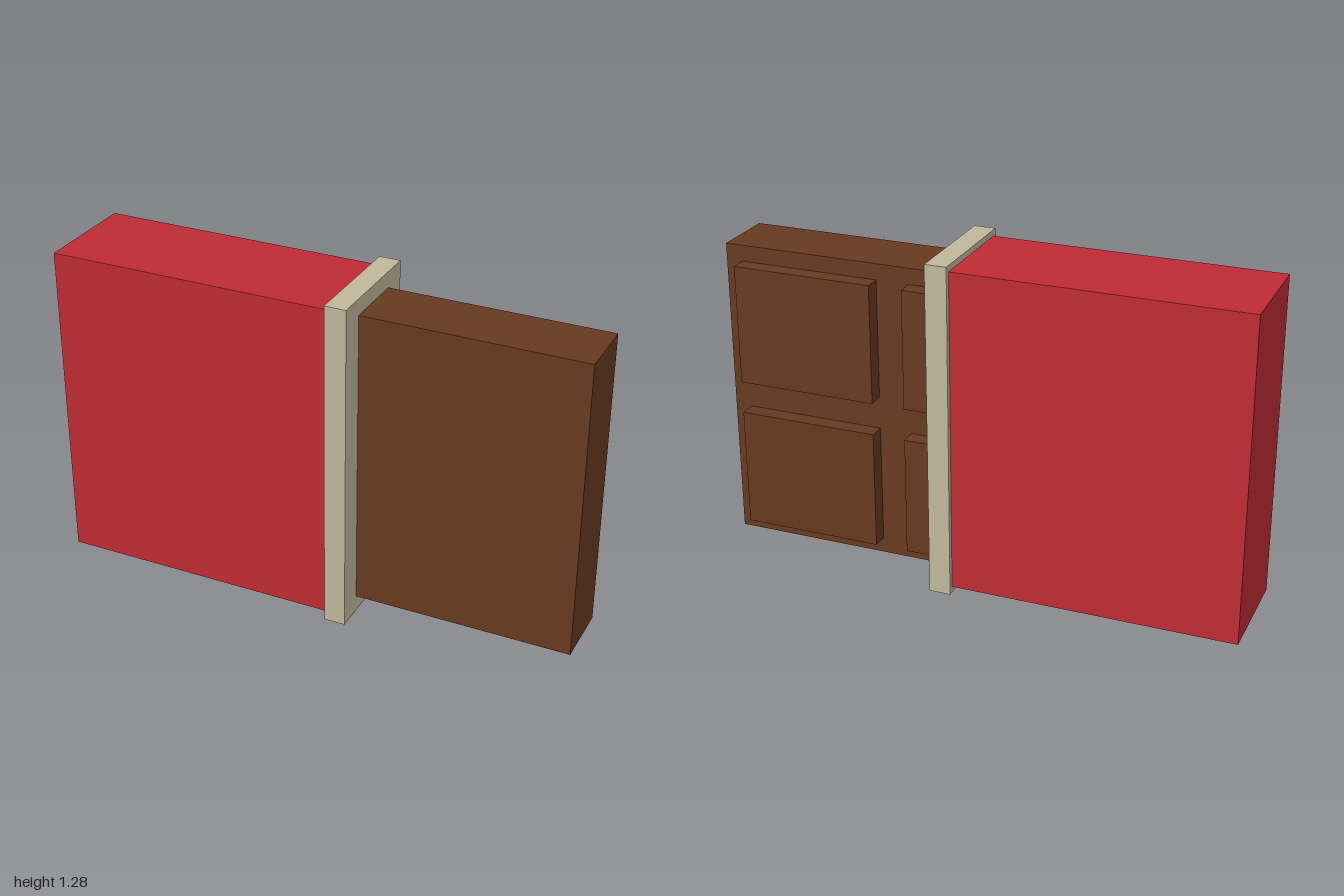
import * as THREE from 'three';

export function createModel() {
  const bar = new THREE.Group();
  bar.name = 'chocolateBar';

  const material = (name, color) => {
    const m = new THREE.MeshStandardMaterial({ color });
    m.name = name;
    return m;
  };
  const red = material('wrapper red', 0xc02c34);
  const silver = material('foil beige', 0xc0b89c);
  const brown = material('chocolate brown', 0x673a20);

  // Box given by its extents along each axis
  const box = (name, mat, [x0, x1], [y0, y1], [z0, z1]) => {
    const mesh = new THREE.Mesh(new THREE.BoxGeometry(x1 - x0, y1 - y0, z1 - z0), mat);
    mesh.position.set((x0 + x1) / 2, (y0 + y1) / 2, (z0 + z1) / 2);
    mesh.name = name;
    bar.add(mesh);
  };

  // Paper wrapper and the folded foil collar at its open end
  box('wrapper', red, [-1, 0.09], [0.023, 1.257], [-0.206, 0.206]);
  box('foilCollar', silver, [0.085, 0.167], [0, 1.28], [-0.226, 0.226]);

  // Chocolate slab, reaching into the wrapper
  box('chocolateSlab', brown, [-0.32, 1], [0.064, 1.218], [-0.123, 0.125]);

  // Raised segments on the back; the inner column is partly wrapped
  for (const x of [[-0.26, 0.275], [0.4, 0.936]]) {
    for (const y of [[0.125, 0.58], [0.703, 1.157]]) {
      box('chocolateSegment', brown, x, y, [-0.186, -0.12]);
    }
  }
  return bar;
}
